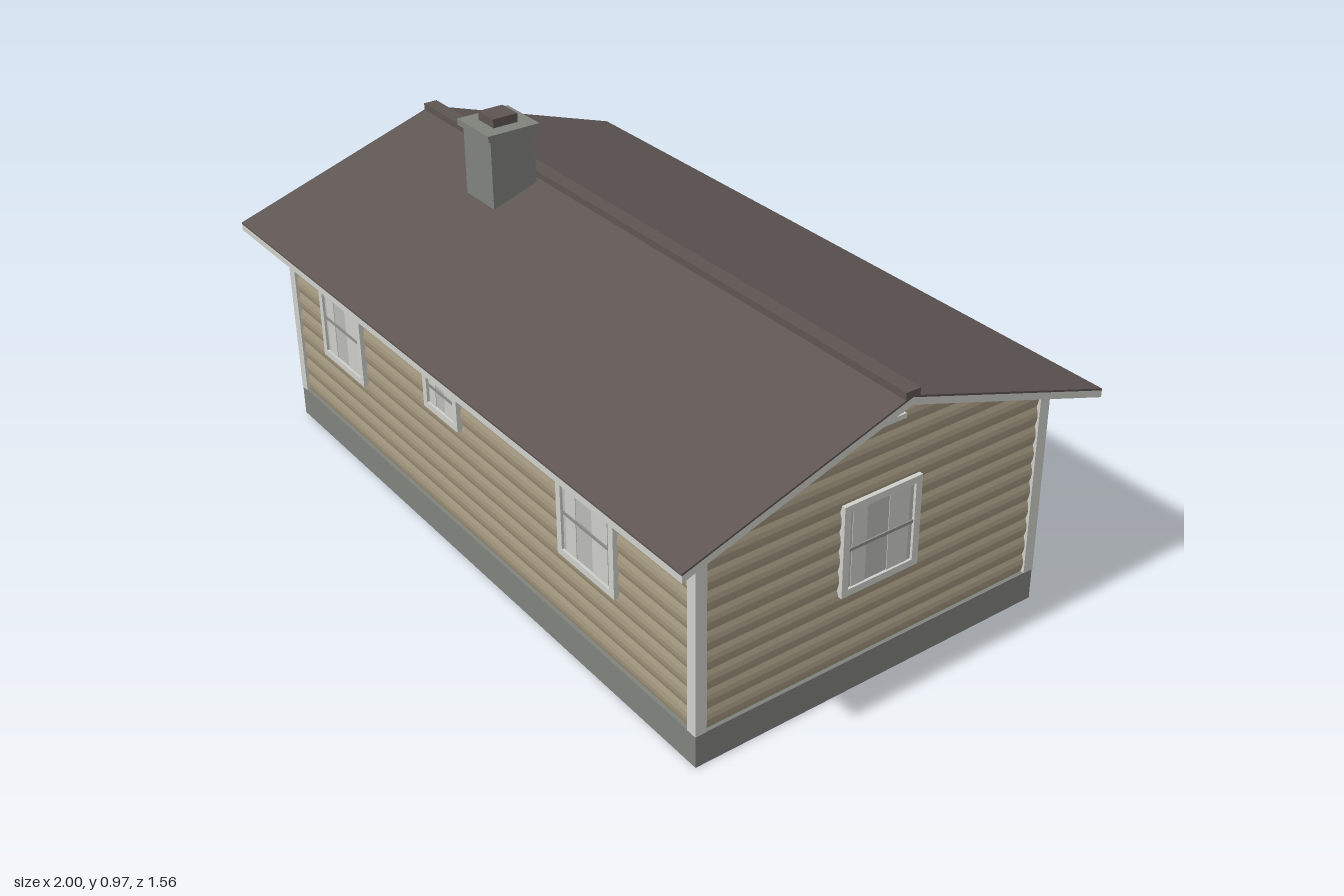
import * as THREE from 'three';

const mat = (name, color, side = THREE.FrontSide) => {
  const m = new THREE.MeshStandardMaterial({ color, side });
  m.name = name;
  return m;
};

// House footprint: outer half sizes, ridge line position and heights
const HX = 0.925, HZ = 0.5075, RIDGE_Z = 0.1825;
const BASE = 0.085, EAVE = 0.6, APEX = 0.765, INSET = 0.01;
const SLOPE = (APEX - EAVE) / HZ;

export function createModel() {
  const siding = mat('siding', 0xa3977f, THREE.DoubleSide);
  const trim = mat('trim', 0xcfcfca);
  const concrete = mat('concrete', 0x80827c);
  const roofing = mat('roofing', 0x5e5552);
  const glass = mat('glass', 0xb9bab6);
  const curtain = mat('curtain', 0xcccdc8);
  const sash = mat('sash', 0x8f908c);
  const doorWhite = mat('doorWhite', 0xf4f4f2);
  const wood = mat('deckWood', 0x8a6a50);
  const shutterBrown = mat('shutterBrown', 0x7a563e);

  const house = new THREE.Group();
  house.name = 'house';

  const add = (parent, name, geo, material) => {
    const mesh = new THREE.Mesh(geo, material);
    mesh.name = name;
    parent.add(mesh);
    return mesh;
  };
  // Box given by its minimum and maximum on each axis
  const box = (parent, name, material, x0, x1, y0, y1, z0, z1) => {
    const mesh = add(parent, name, new THREE.BoxGeometry(x1 - x0, y1 - y0, z1 - z0), material);
    mesh.position.set((x0 + x1) / 2, (y0 + y1) / 2, (z0 + z1) / 2);
    return mesh;
  };
  // Group on one wall: its local +z points outward
  const onWall = (name, side, along, y) => {
    const g = new THREE.Group();
    g.name = name;
    const dx = HX - INSET, dz = HZ - INSET;
    if (side === 'front') g.position.set(along, y, RIDGE_Z + dz);
    if (side === 'back') g.position.set(along, y, RIDGE_Z - dz);
    if (side === 'left') g.position.set(dx, y, along);
    if (side === 'right') g.position.set(-dx, y, along);
    g.rotation.y = { front: 0, back: Math.PI, left: Math.PI / 2, right: -Math.PI / 2 }[side];
    house.add(g);
    return g;
  };

  // Foundation ring, open underneath
  const zF = RIDGE_Z + HZ, zB = RIDGE_Z - HZ, T = 0.02;
  box(house, 'foundationFront', concrete, -HX, HX, 0, BASE, zF - T, zF);
  box(house, 'foundationBack', concrete, -HX, HX, 0, BASE, zB, zB + T);
  for (const s of [-1, 1]) {
    const x = s * (HX - T / 2);
    box(house, 'foundationSide', concrete, x - T / 2, x + T / 2, 0, BASE, zB + T, zF - T);
  }

  // Log siding: rounded courses, narrowed row by row to the wall outline
  const COURSE = (EAVE - BASE) / 10, SEG = 4;
  const sidingGeometry = (top, halfWidth) => {
    const pos = [], index = [];
    const rows = Math.ceil((top - BASE) / COURSE * SEG);
    for (let i = 0; i <= rows; i++) {
      const y = Math.min(BASE + i * COURSE / SEG, top);
      const d = 0.006 * Math.sin(Math.PI * (i % SEG) / SEG);
      const w = halfWidth(y);
      pos.push(-w, y, d, w, y, d);
      if (i) {
        const a = 2 * i - 2;
        index.push(a, a + 1, a + 3, a, a + 3, a + 2);
      }
    }
    const g = new THREE.BufferGeometry();
    g.setAttribute('position', new THREE.Float32BufferAttribute(pos, 3));
    g.setIndex(index);
    const flat = g.toNonIndexed();
    flat.computeVertexNormals();
    return flat;
  };
  const longWall = sidingGeometry(EAVE, () => HX - INSET);
  const gableWall = sidingGeometry(APEX - 0.001,
    y => Math.min(HZ - INSET, Math.max(0.001, (APEX - y) / SLOPE)));
  for (const side of ['front', 'back']) add(onWall(side + 'Wall', side, 0, 0), 'siding', longWall, siding);
  for (const side of ['left', 'right']) add(onWall(side + 'Gable', side, RIDGE_Z, 0), 'siding', gableWall, siding);

  // Corner boards
  for (const sx of [-1, 1]) for (const sz of [-1, 1]) {
    const x = sx * (HX - 0.014), z = RIDGE_Z + sz * (HZ - 0.014);
    box(house, 'cornerBoard', trim, x - 0.015, x + 0.015, BASE, EAVE, z - 0.015, z + 0.015);
  }

  // Roof layers: chevron profiles swept along x
  const chevron = (name, material, half, length, lift, thick) => {
    const y = d => APEX + lift - d * SLOPE;
    const shape = new THREE.Shape([
      [-half, y(half)], [0, y(0)], [half, y(half)],
      [half, y(half) + thick], [0, y(0) + thick], [-half, y(half) + thick],
    ].map(p => new THREE.Vector2(...p)));
    const g = new THREE.ExtrudeGeometry(shape, { depth: length, bevelEnabled: false });
    g.translate(0, 0, -length / 2).rotateY(-Math.PI / 2);
    add(house, name, g, material).position.z = RIDGE_Z;
  };
  chevron('roofDeckAndFascia', trim, 0.5975, 2, 0, 0.018);
  chevron('roofShingles', roofing, 0.5975, 2, 0.018, 0.005);
  box(house, 'ridgeCap', roofing, -1, 1, 0.77, 0.8, RIDGE_Z - 0.02, RIDGE_Z + 0.02);

  // Chimney
  box(house, 'chimneyStack', concrete, -0.53, -0.397, 0.705, 0.925, 0.215, 0.345);
  box(house, 'chimneyCap', concrete, -0.54, -0.388, 0.925, 0.942, 0.204, 0.356);
  box(house, 'chimneyFlue', roofing, -0.5, -0.428, 0.942, 0.966, 0.244, 0.316);

  // Frame with an opening, centred on the origin
  const casing = (parent, w, h, b) => {
    const rect = (Type, a, c) => new Type([[-a, -c], [a, -c], [a, c], [-a, c]].map(p => new THREE.Vector2(...p)));
    const shape = rect(THREE.Shape, w / 2, h / 2);
    shape.holes.push(rect(THREE.Path, w / 2 - b, h / 2 - b));
    const g = new THREE.ExtrudeGeometry(shape, { depth: 0.026, bevelEnabled: false });
    add(parent, 'casing', g.translate(0, 0, -0.01), trim);
  };

  // Window with curtains; one sash has a middle rail, several get mullions
  const makeWindow = (side, along, y0, y1, w, panes = 1) => {
    const g = onWall('window', side, along, (y0 + y1) / 2);
    const h = y1 - y0, b = 0.018, iw = w - 2 * b, ih = h - 2 * b, pw = iw / panes;
    casing(g, w, h, b);
    box(g, 'glass', glass, -iw / 2, iw / 2, -ih / 2, ih / 2, -0.008, 0.009);
    for (let i = 0; i < panes; i++) {
      const x = -iw / 2 + i * pw;
      for (const [a, c] of [[0.06, 0.28], [0.62, 0.94]])
        box(g, 'curtain', curtain, x + a * pw, x + c * pw, -ih / 2, ih / 2, 0.009, 0.0105);
      if (i) box(g, 'mullion', trim, x - 0.007, x + 0.007, -ih / 2, ih / 2, -0.009, 0.014);
    }
    if (panes === 1) box(g, 'middleRail', sash, -iw / 2, iw / 2, -0.004, 0.004, -0.009, 0.013);
    return g;
  };
  makeWindow('front', -0.63, 0.275, 0.515, 0.225);
  makeWindow('front', 0.522, 0.275, 0.515, 0.225);
  makeWindow('front', -0.107, 0.378, 0.515, 0.162);
  makeWindow('left', RIDGE_Z, 0.275, 0.515, 0.225);
  makeWindow('right', RIDGE_Z, 0.275, 0.515, 0.225);
  makeWindow('back', -0.345, 0.18, 0.515, 0.45, 3);
  makeWindow('back', -0.76, 0.22, 0.515, 0.22);

  // Shuttered window
  const shuttered = makeWindow('back', 0.71, 0.275, 0.515, 0.225);
  for (const s of [-1, 1]) {
    const x = s * 0.154;
    box(shuttered, 'shutter', shutterBrown, x - 0.04, x + 0.04, -0.125, 0.125, 0, 0.016);
  }

  // Back door
  const door = onWall('door', 'back', 0.25, 0.3);
  casing(door, 0.21, 0.43, 0.016);
  box(door, 'doorPanel', doorWhite, -0.089, 0.089, -0.199, 0.199, -0.008, 0.011);
  box(door, 'doorGlass', glass, -0.042, 0.042, 0.07, 0.17, 0.011, 0.014);
  const knob = add(door, 'doorKnob', new THREE.SphereGeometry(0.009, 12, 8), roofing);
  knob.position.set(-0.068, -0.02, 0.018);

  // Louvred gable vents
  for (const side of ['left', 'right']) {
    const vent = onWall('gableVent', side, RIDGE_Z, 0.716);
    box(vent, 'ventBack', sash, -0.05, 0.05, -0.035, 0.035, 0, 0.009);
    for (let i = 0; i < 4; i++) {
      const y = -0.03 + i * 0.02;
      box(vent, 'louvre', trim, -0.053, 0.053, y - 0.006, y + 0.006, 0, 0.015);
    }
  }

  // Deck: planks on a frame with short posts, and a step
  const deck = new THREE.Group();
  deck.name = 'deck';
  house.add(deck);
  const D0 = -0.72, D1 = -0.325, planks = 16, pitch = (D1 - D0) / planks;
  box(deck, 'deckFrame', wood, -0.08, 0.58, 0.042, 0.076, D0 + 0.003, D1);
  for (let i = 0; i < planks; i++) {
    const z = D0 + i * pitch;
    box(deck, 'plank', wood, -0.085, 0.585, 0.076, 0.086, z, z + pitch - 0.003);
  }
  for (const x of [-0.065, 0.25, 0.565]) for (const z of [-0.7, -0.41])
    box(deck, 'deckPost', wood, x - 0.01, x + 0.01, 0, 0.042, z - 0.01, z + 0.01);
  box(deck, 'step', wood, 0.1, 0.395, 0.003, 0.042, -0.78, -0.723);

  return house;
}
